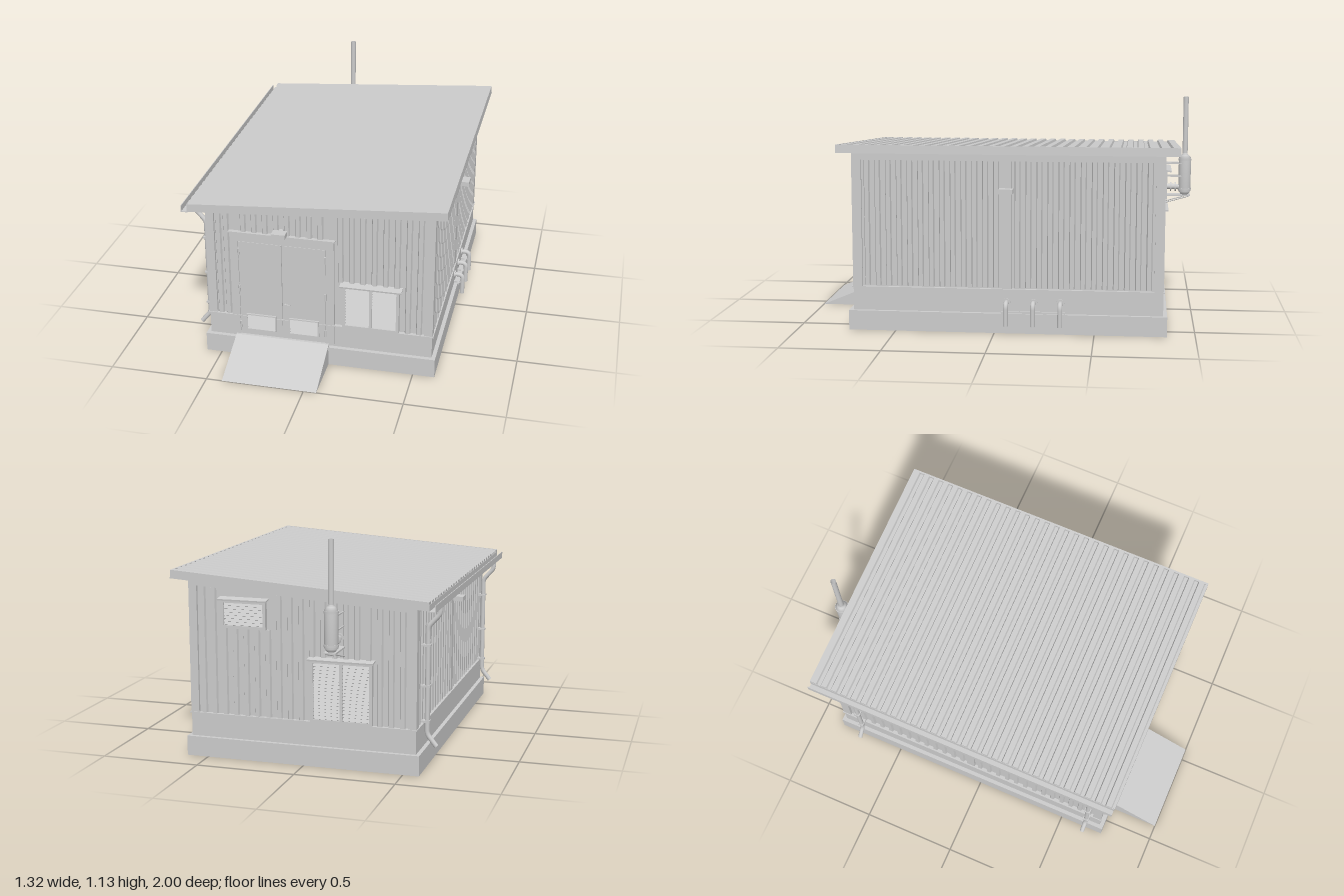
import * as THREE from 'three';

const grey = new THREE.MeshStandardMaterial({ color: 0xcccccc, side: THREE.DoubleSide });
grey.name = 'light grey';

const SLOPE = 0.07;
const roofUnder = (x) => 0.815 + (x + 0.63) * SLOPE;
const ribTop = (x) => roofUnder(x) - 0.036;

function add(parent, name, geo, x = 0, y = 0, z = 0) {
  const m = new THREE.Mesh(geo, grey);
  m.name = name;
  m.position.set(x, y, z);
  parent.add(m);
  return m;
}

// Box given by its limits on each axis
function box(parent, name, x0, x1, y0, y1, z0, z1) {
  return add(parent, name, new THREE.BoxGeometry(x1 - x0, y1 - y0, z1 - z0),
    (x0 + x1) / 2, (y0 + y1) / 2, (z0 + z1) / 2);
}

// Closed outline in x,y extruded from z0 to z1
function prism(parent, name, pts, z0, z1) {
  const shape = new THREE.Shape(pts.map(([x, y]) => new THREE.Vector2(x, y)));
  const geo = new THREE.ExtrudeGeometry(shape, { depth: z1 - z0, bevelEnabled: false });
  return add(parent, name, geo, 0, 0, z0);
}

// Round pipe through points with rounded bends
function pipe(parent, name, pts, r, bend = 0.02) {
  const p = pts.map((a) => new THREE.Vector3(...a));
  const path = new THREE.CurvePath();
  let from = p[0];
  for (let i = 1; i < p.length - 1; i++) {
    const a = p[i].clone().add(p[i - 1].clone().sub(p[i]).setLength(bend));
    const b = p[i].clone().add(p[i + 1].clone().sub(p[i]).setLength(bend));
    path.add(new THREE.LineCurve3(from, a));
    path.add(new THREE.QuadraticBezierCurve3(a, p[i], b));
    from = b;
  }
  path.add(new THREE.LineCurve3(from, p[p.length - 1]));
  return add(parent, name, new THREE.TubeGeometry(path, p.length * 16, r, 14), 0, 0, 0);
}

// Upright trapezoid cladding rib standing on a wall plane
function rib(wall, u, y0, y1) {
  const m = prism(wall, 'claddingRib', [[-0.015, 0], [0.015, 0], [0.010, -0.012], [-0.010, -0.012]], 0, y1 - y0);
  m.rotation.x = -Math.PI / 2;
  m.position.set(u, y0, 0);
}

function ribs(wall, u0, u1, n, bottom, top) {
  for (let i = 0; i < n; i++) {
    const u = u0 + (u1 - u0) * (i + 0.5) / n;
    rib(wall, u, bottom(u), top(u));
  }
}

// Framed louvre with tilted slats in one or more bays
function louvre(wall, name, u0, u1, y0, y1, bays, slats, z, depth) {
  const g = new THREE.Group();
  g.name = name;
  wall.add(g);
  const f = depth * 0.6;
  box(g, 'backPlate', u0, u1, y0, y1, z, z + 0.003);
  box(g, 'frameTop', u0, u1, y1 - f, y1, z, z + depth);
  box(g, 'frameBottom', u0, u1, y0, y0 + f, z, z + depth);
  for (let i = 0; i <= bays; i++) {
    const u = u0 + f / 2 + (u1 - u0 - f) * i / bays;
    box(g, 'frameUpright', u - f / 2, u + f / 2, y0, y1, z, z + depth);
  }
  const pitch = (y1 - y0 - 2 * f) / slats;
  for (let i = 0; i < slats; i++) {
    const y = y0 + f + pitch * (i + 0.5);
    const s = box(g, 'slat', u0 + f, u1 - f, y - pitch * 0.5, y + pitch * 0.5, z + depth * 0.5, z + depth * 0.5 + 0.003);
    s.rotation.x = -0.5;
  }
  return g;
}

function lamp(wall, u, y) {
  box(wall, 'lampArm', u - 0.01, u + 0.01, y - 0.008, y + 0.008, 0, 0.03);
  box(wall, 'lampHousing', u - 0.035, u + 0.035, y - 0.012, y + 0.012, 0.022, 0.072);
}

function hood(wall, u0, u1, y) {
  const h = box(wall, 'ventHood', u0, u1, y, y + 0.008, 0, 0.045);
  h.rotation.x = 0.15;
}

export function createModel() {
  const model = new THREE.Group();
  model.name = 'equipmentShelter';

  // Base, ramp and wall core
  box(model, 'foundationSlab', -0.58, 0.61, 0, 0.1, -0.86, 0.738);
  box(model, 'plinth', -0.56, 0.59, 0.1, 0.217, -0.84, 0.716);
  box(model, 'plinthFlashing', -0.567, 0.597, 0.216, 0.222, -0.847, 0.723);
  const ramp = prism(model, 'entryRamp', [[-1, 0], [-0.73, 0.112], [-0.67, 0.112], [-0.67, 0]], -0.42, 0.065);
  ramp.rotation.y = Math.PI / 2;
  ramp.position.set(-0.42, 0, 0);
  prism(model, 'wallCore', [[-0.548, 0.2], [0.58, 0.2], [0.58, roofUnder(0.58)], [-0.548, roofUnder(-0.548)]], -0.828, 0.704);

  // Corner posts and sloping trims under the eaves
  for (const [x0, x1] of [[-0.562, -0.52], [0.55, 0.592]]) {
    for (const [z0, z1] of [[0.67, 0.718], [-0.842, -0.795]]) {
      box(model, 'cornerPost', x0, x1, 0.22, roofUnder(x0), z0, z1);
    }
  }
  for (const [z0, z1] of [[0.7, 0.717], [-0.841, -0.82]]) {
    prism(model, 'eaveTrim', [[-0.56, ribTop(-0.56)], [0.59, ribTop(0.59)], [0.59, roofUnder(0.59)], [-0.56, roofUnder(-0.56)]], z0, z1);
  }

  // Wall frames: local x runs along the wall, local z points outward
  const wallGroup = (name, x, z, turn) => {
    const g = new THREE.Group();
    g.name = name;
    g.position.set(x, 0, z);
    g.rotation.y = turn;
    model.add(g);
    return g;
  };
  const front = wallGroup('frontWall', 0, 0.704, 0);
  const back = wallGroup('backWall', 0, -0.828, Math.PI);
  const leftSide = wallGroup('leftWall', 0.58, 0, Math.PI / 2);
  const rightSide = wallGroup('rightWall', -0.548, 0, -Math.PI / 2);

  // Front cladding
  ribs(front, 0.095, 0.55, 8, (u) => (u > 0.12 && u < 0.44 ? 0.47 : 0.222), ribTop);
  ribs(front, -0.40, 0.05, 8, () => 0.697, ribTop);
  ribs(front, -0.52, -0.44, 2, () => 0.222, ribTop);

  // Double door
  box(front, 'doorFrameRight', -0.44, -0.398, 0.112, 0.697, -0.01, 0.016);
  box(front, 'doorFrameLeft', 0.05, 0.092, 0.112, 0.697, -0.01, 0.016);
  box(front, 'doorFrameTop', -0.398, 0.05, 0.647, 0.695, -0.01, 0.016);
  box(front, 'doorCanopyLip', -0.445, 0.097, 0.692, 0.699, 0, 0.022);
  for (const [a, b] of [[-0.396, -0.1765], [-0.1735, 0.048]]) {
    box(front, 'doorLeaf', a, b, 0.114, 0.645, 0, 0.015);
    const mid = (a + b) / 2 + (a < -0.2 ? 0 : -0.001);
    louvre(front, 'doorLouvre', mid - 0.078, mid + 0.078, 0.145, 0.237, 1, 6, 0.014, 0.01);
  }
  for (const x of [-0.396, 0.048]) {
    for (const y of [0.17, 0.38, 0.59]) {
      add(front, 'hinge', new THREE.CylinderGeometry(0.005, 0.005, 0.036, 10), x, y, 0.018);
    }
  }
  box(front, 'doorHandle', -0.162, -0.13, 0.311, 0.317, 0.022, 0.028);
  box(front, 'handleStem', -0.162, -0.156, 0.311, 0.317, 0.012, 0.024);
  lamp(front, -0.175, 0.722);

  // Ventilation louvres
  louvre(front, 'frontLouvre', 0.135, 0.422, 0.222, 0.462, 2, 13, 0, 0.024);
  hood(front, 0.125, 0.436, 0.463);
  louvre(back, 'rearLouvre', 0.035, 0.345, 0.222, 0.53, 2, 16, 0, 0.024);
  hood(back, 0.025, 0.355, 0.532);
  louvre(back, 'upperLouvre', -0.42, -0.19, 0.66, 0.8, 1, 7, 0, 0.024);
  hood(back, -0.43, -0.18, 0.802);

  // Rear cladding, broken around the louvres
  for (let i = 0; i < 19; i++) {
    const u = -0.55 + 1.07 * (i + 0.5) / 19;
    const top = ribTop(-u);
    if (u > 0.02 && u < 0.36) rib(back, u, 0.54, top);
    else if (u > -0.435 && u < -0.175) rib(back, u, 0.222, 0.66);
    else rib(back, u, 0.222, top);
  }

  // Side cladding with a central post, lamp and top trim
  for (const [wall, s, x] of [[leftSide, 1, 0.58], [rightSide, -1, -0.548]]) {
    const top = ribTop(x);
    const span = (a, b) => (s > 0 ? [a, b] : [-b, -a]);
    ribs(wall, ...span(-0.67, 0.035), 13, () => 0.228, () => top);
    ribs(wall, ...span(0.087, 0.795), 13, () => 0.228, () => top);
    const [p0, p1] = span(0.038, 0.084);
    box(wall, 'middlePost', p0, p1, 0.222, top + 0.01, 0, 0.012);
    const [t0, t1] = span(-0.7, 0.82);
    box(wall, 'topTrim', t0, t1, top, roofUnder(x), -0.01, 0.012);
    lamp(wall, 0.061 * s, 0.72);
  }

  // Ribbed mono-pitch roof, built flat then tilted
  const roof = new THREE.Group();
  roof.name = 'roof';
  roof.position.set(-0.63, 0.813, 0);
  roof.rotation.z = Math.atan(SLOPE);
  model.add(roof);
  const L = 1.29;
  box(roof, 'roofSheet', 0, L, 0.018, 0.03, -0.908, 0.78);
  box(roof, 'frontFascia', 0, L, 0, 0.042, 0.772, 0.782);
  box(roof, 'rearFascia', 0, L, 0, 0.042, -0.912, -0.902);
  box(roof, 'highFascia', L - 0.01, L, 0, 0.042, -0.912, 0.782);
  box(roof, 'lowFascia', 0, 0.006, 0, 0.03, -0.912, 0.782);
  for (let i = 0; i < 30; i++) {
    const m = prism(roof, 'roofRib', [[-0.019, 0], [0.019, 0], [0.014, 0.012], [-0.014, 0.012]], 0, L - 0.01);
    m.rotation.y = Math.PI / 2;
    m.position.set(0, 0.03, -0.89 + i * 0.0565);
  }
  for (let i = 0; i < 6; i++) {
    const x = 0.06 + i * 0.23;
    box(roof, 'purlin', x, x + 0.03, 0.002, 0.02, -0.902, 0.772);
  }

  // Gutter channel and two downpipes
  prism(model, 'gutter', [[-0.665, 0.842], [-0.665, 0.808], [-0.63, 0.808], [-0.63, 0.842],
    [-0.634, 0.842], [-0.634, 0.812], [-0.661, 0.812], [-0.661, 0.842]], -0.912, 0.778);
  for (const z of [-0.72, 0.64]) {
    pipe(model, 'downpipe', [[-0.643, 0.812, z], [-0.643, 0.765, z], [-0.585, 0.7, z], [-0.585, 0.17, z], [-0.632, 0.112, z]], 0.012);
    for (const y of [0.61, 0.41, 0.235]) box(model, 'pipeClip', -0.6, -0.545, y - 0.005, y + 0.005, z - 0.016, z + 0.016);
  }

  // Bent service pipes on a rail
  for (const z of [-0.06, -0.195, -0.33]) {
    pipe(model, 'servicePipe', [[0.58, 0.155, z], [0.636, 0.155, z], [0.636, 0.042, z]], 0.012, 0.026);
    const flange = add(model, 'pipeFlange', new THREE.CylinderGeometry(0.02, 0.02, 0.008, 16), 0.594, 0.155, z);
    flange.rotation.z = Math.PI / 2;
    box(model, 'pipeBracket', 0.588, 0.636, 0.106, 0.114, z - 0.008, z + 0.008);
  }
  box(model, 'pipeRail', 0.612, 0.622, 0.105, 0.115, -0.355, -0.035);

  // Exhaust silencer and stack
  const ex = new THREE.Group();
  ex.name = 'exhaust';
  ex.position.set(-0.178, 0, -0.96);
  model.add(ex);
  const profile = [[0, 0.605], [0.02, 0.605], [0.033, 0.622], [0.033, 0.805], [0.02, 0.82], [0.013, 0.825], [0.013, 0.84], [0, 0.84]];
  const body = new THREE.LatheGeometry(profile.map(([r, y]) => new THREE.Vector2(r, y)), 24);
  add(ex, 'silencer', body);
  add(ex, 'stack', new THREE.CylinderGeometry(0.014, 0.014, 0.305, 18, 1, true), 0, 0.9825, 0);
  for (const y of [0.635, 0.795]) add(ex, 'silencerBand', new THREE.CylinderGeometry(0.036, 0.036, 0.01, 24), 0, y, 0);
  pipe(ex, 'inletPipe', [[0, 0.645, 0], [0, 0.645, 0.13]], 0.015);
  for (const z of [0.05, 0.075, 0.118]) {
    const f = add(ex, 'inletFlange', new THREE.CylinderGeometry(0.024, 0.024, 0.007, 18), 0, 0.645, z);
    f.rotation.x = Math.PI / 2;
  }
  for (const y of [0.705, 0.775]) {
    for (const x of [-0.028, 0.022]) box(ex, 'wallStrut', x, x + 0.006, y - 0.003, y + 0.003, 0, 0.13);
  }
  box(ex, 'supportShelf', -0.03, 0.03, 0.597, 0.605, -0.03, 0.13);
  for (const x of [-0.028, 0.028]) pipe(ex, 'shelfBrace', [[x, 0.598, -0.025], [x, 0.555, 0.125]], 0.003);

  return model;
}
